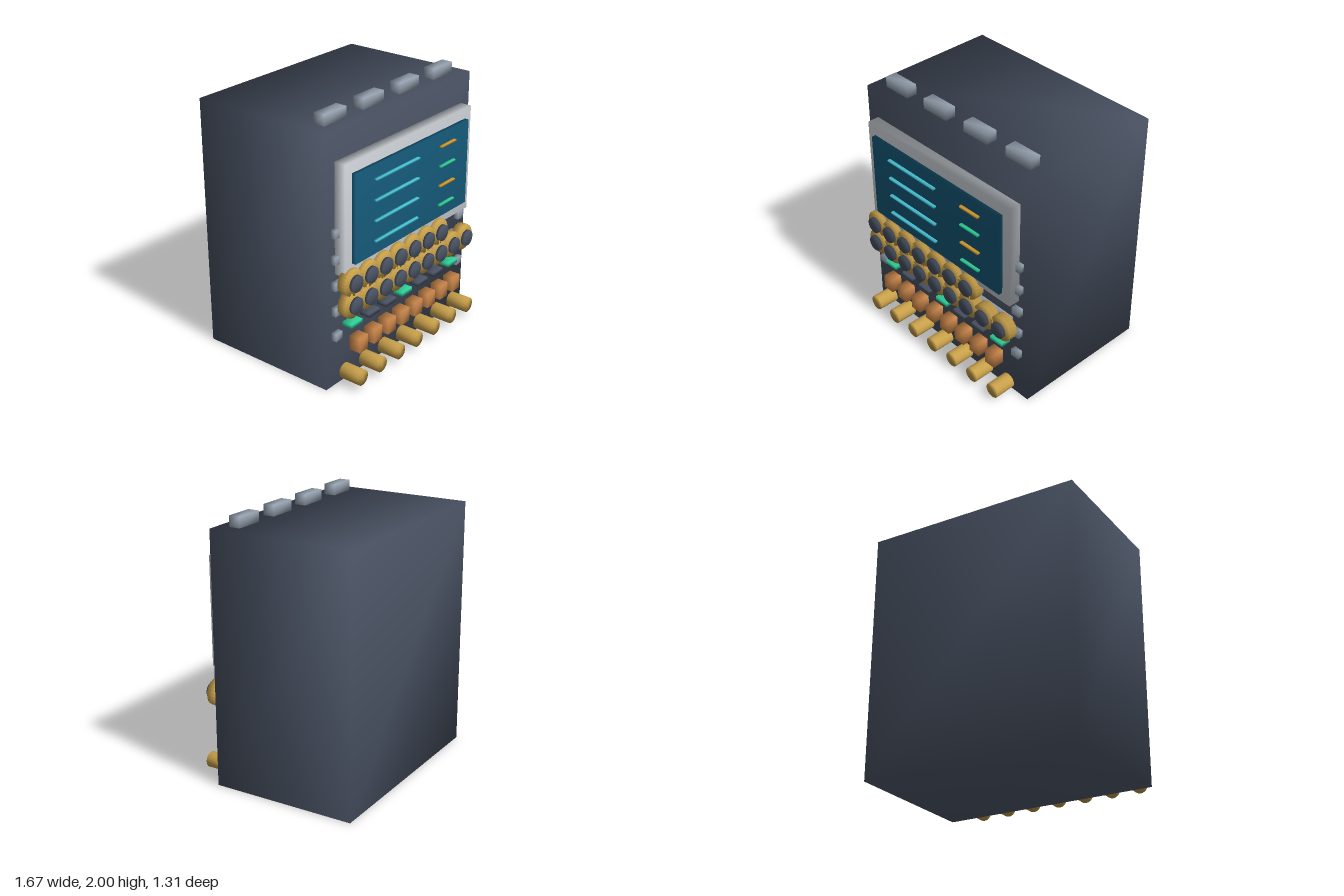
import * as THREE from 'three';
import { mergeVertices } from 'three/addons/utils/BufferGeometryUtils.js';

const paint = (name, color) => {
  const m = new THREE.MeshStandardMaterial({ color });
  m.name = name;
  return m;
};

// Shares corner vertices so that shading blends softly across the edges
function soften(geometry) {
  geometry.deleteAttribute('uv');
  geometry.deleteAttribute('normal');
  const welded = mergeVertices(geometry, 1e-4);
  welded.computeVertexNormals();
  return welded;
}

export function createModel() {
  const model = new THREE.Group();
  model.name = 'controlConsole';

  const slate = paint('slate', 0x4a5364);
  const steel = paint('steel', 0x94a0ae);
  const silver = paint('silver', 0xcbd0d6);
  const screenBlue = paint('screenBlue', 0x155a7a);
  const cyan = paint('cyan', 0x45c4d8);
  const amber = paint('amber', 0xd69a2e);
  const green = paint('green', 0x2ecf98);
  const brass = paint('brass', 0xc8a04a);
  const copper = paint('copper', 0xd08a4c);

  function add(name, geometry, material, x, y, z) {
    const mesh = new THREE.Mesh(geometry, material);
    mesh.name = name;
    mesh.position.set(x, y, z);
    model.add(mesh);
    return mesh;
  }

  // Box given by centre x and y, width, height, and its back and front z
  function box(name, material, x, y, w, h, z0, z1) {
    return add(name, soften(new THREE.BoxGeometry(w, h, z1 - z0)), material, x, y, (z0 + z1) / 2);
  }

  // Cylinder facing the front; a tooth depth gives it a knurled rim
  function disc(name, material, x, y, r, z0, z1, sides, tooth = 0) {
    const g = new THREE.CylinderGeometry(r, r, z1 - z0, sides);
    g.rotateX(Math.PI / 2);
    if (tooth) {
      const p = g.attributes.position;
      for (let i = 0; i < p.count; i++) {
        const step = Math.round(Math.atan2(p.getY(i), p.getX(i)) / (2 * Math.PI) * sides);
        if (step % 2 !== 0) {
          p.setX(i, p.getX(i) * (1 - tooth));
          p.setY(i, p.getY(i) * (1 - tooth));
        }
      }
    }
    return add(name, soften(g), material, x, y, (z0 + z1) / 2);
  }

  // Cabinet and display
  const face = 0.465;
  box('cabinet', slate, 0, 0.96, 1.67, 1.92, -0.65, face);
  box('displayFrame', silver, 0, 1.29, 1.466, 0.82, face, 0.555);
  box('displayScreen', screenBlue, 0, 1.29, 1.32, 0.66, 0.545, 0.587);

  // Readout lines on the screen
  [1.52, 1.367, 1.215, 1.063].forEach((y, i) => {
    box('longReadout', cyan, -0.217, y, 0.49, 0.015, 0.588, 0.61);
    box('shortReadout', i % 2 ? green : amber, 0.383, y, 0.18, 0.015, 0.588, 0.61);
  });

  // Blocks along the top edge
  for (let i = 0; i < 4; i++) {
    box('topBlock', steel, -0.613 + i * 0.409, 1.96, 0.228, 0.08, 0.29, 0.377);
  }

  // Clips down both sides of the front
  for (const side of [-1, 1]) {
    for (let i = 0; i < 5; i++) {
      box('sideClip', steel, side * 0.738, 1.195 - i * 0.197, 0.07, 0.06, face, 0.505);
    }
  }

  // Two rows of knurled dials on a rail
  box('dialRail', steel, 0, 0.667, 1.35, 0.06, face, 0.523);
  [[0.83, 7], [0.66, 9]].forEach(([y, count]) => {
    for (let i = 0; i < count; i++) {
      const x = -0.677 + i * 0.169;
      disc('dialRim', brass, x, y, 0.101, 0.522, 0.587, 48, 0.04);
      disc('dialCap', slate, x, y, 0.062, 0.597, 0.62, 24);
    }
  });

  // Flat keys, every third one lit
  for (let i = 0; i < 7; i++) {
    const lit = i % 3 === 0;
    box(lit ? 'litKey' : 'flatKey', lit ? green : slate, -0.592 + i * 0.197, 0.458, 0.12, 0.032, face, 0.547);
  }

  // Square switches
  for (let i = 0; i < 8; i++) {
    box('switch', copper, -0.576 + i * 0.164, 0.307, 0.095, 0.115, 0.505, 0.595);
  }

  // Round plugs along the bottom
  for (let i = 0; i < 7; i++) {
    disc('plug', brass, -0.664 + i * 0.2213, 0.094, 0.059, 0.492, 0.655, 24);
  }

  return model;
}
